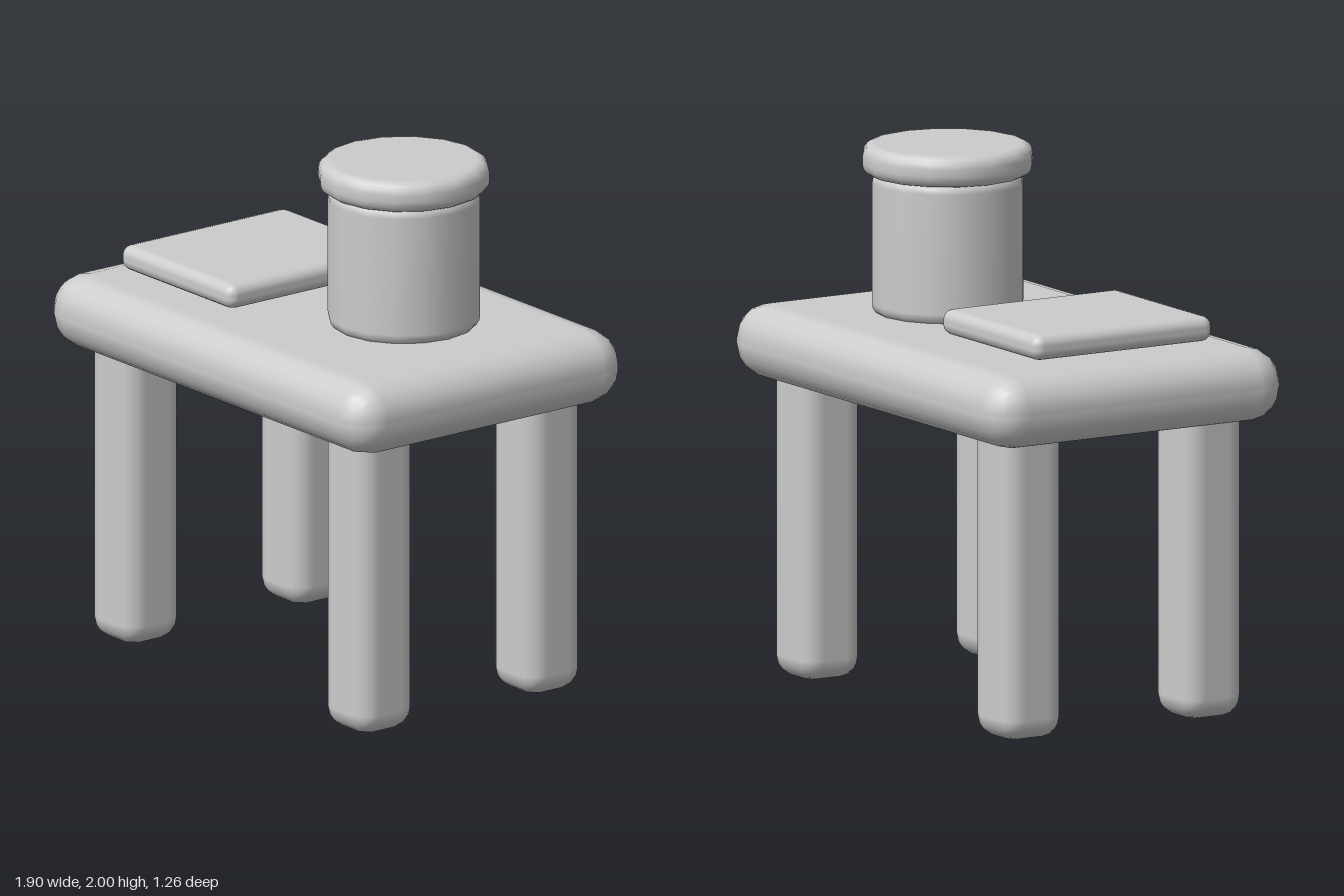
import * as THREE from 'three';
import { RoundedBoxGeometry } from 'three/addons/geometries/RoundedBoxGeometry.js';

export function createModel() {
  const model = new THREE.Group();
  model.name = 'tableWithJar';
  const grey = new THREE.MeshStandardMaterial({ color: 0xcccccc });
  grey.name = 'lightGrey';

  const add = (name, geometry, x, y, z) => {
    const mesh = new THREE.Mesh(geometry, grey);
    mesh.name = name;
    mesh.position.set(x, y, z);
    model.add(mesh);
  };

  // Rounded box given by its lower and upper corners
  const block = (name, [x0, y0, z0], [x1, y1, z1], radius) => add(
    name, new RoundedBoxGeometry(x1 - x0, y1 - y0, z1 - z0, 2, radius),
    (x0 + x1) / 2, (y0 + y1) / 2, (z0 + z1) / 2);

  // Upright disc with rounded rims, 16 sides
  const roundedCylinder = (name, radius, y0, y1, bevel, x, z) => {
    const h = y1 - y0;
    const points = [new THREE.Vector2(0, 0)];
    for (const [cy, start] of [[bevel, -Math.PI / 2], [h - bevel, 0]]) {
      for (let i = 0; i <= 4; i++) {
        const a = start + (i / 4) * Math.PI / 2;
        points.push(new THREE.Vector2(
          radius - bevel + bevel * Math.cos(a), cy + bevel * Math.sin(a)));
      }
    }
    points.push(new THREE.Vector2(0, h));
    add(name, new THREE.LatheGeometry(points, 16), x, y0, z);
  };

  // Table
  block('tableTop', [-0.95, 1.1, -0.63], [0.95, 1.375, 0.63], 0.13);
  for (const sx of [-1, 1]) {
    for (const sz of [-1, 1]) {
      const x = sx * 0.69, z = sz * 0.388;
      block((sz > 0 ? 'front' : 'back') + (sx > 0 ? 'Left' : 'Right') + 'Leg',
        [x - 0.13, 0, z - 0.13], [x + 0.13, 1.2, z + 0.13], 0.08);
    }
  }

  // Flat slab hovering just above the table top
  block('slab', [-0.757, 1.392, -0.355], [-0.093, 1.487, 0.415], 0.04);

  // Jar and lid
  roundedCylinder('jarBody', 0.28, 1.365, 1.9, 0.045, 0.35, -0.04);
  roundedCylinder('jarLid', 0.315, 1.883, 2, 0.045, 0.35, -0.04);

  return model;
}
